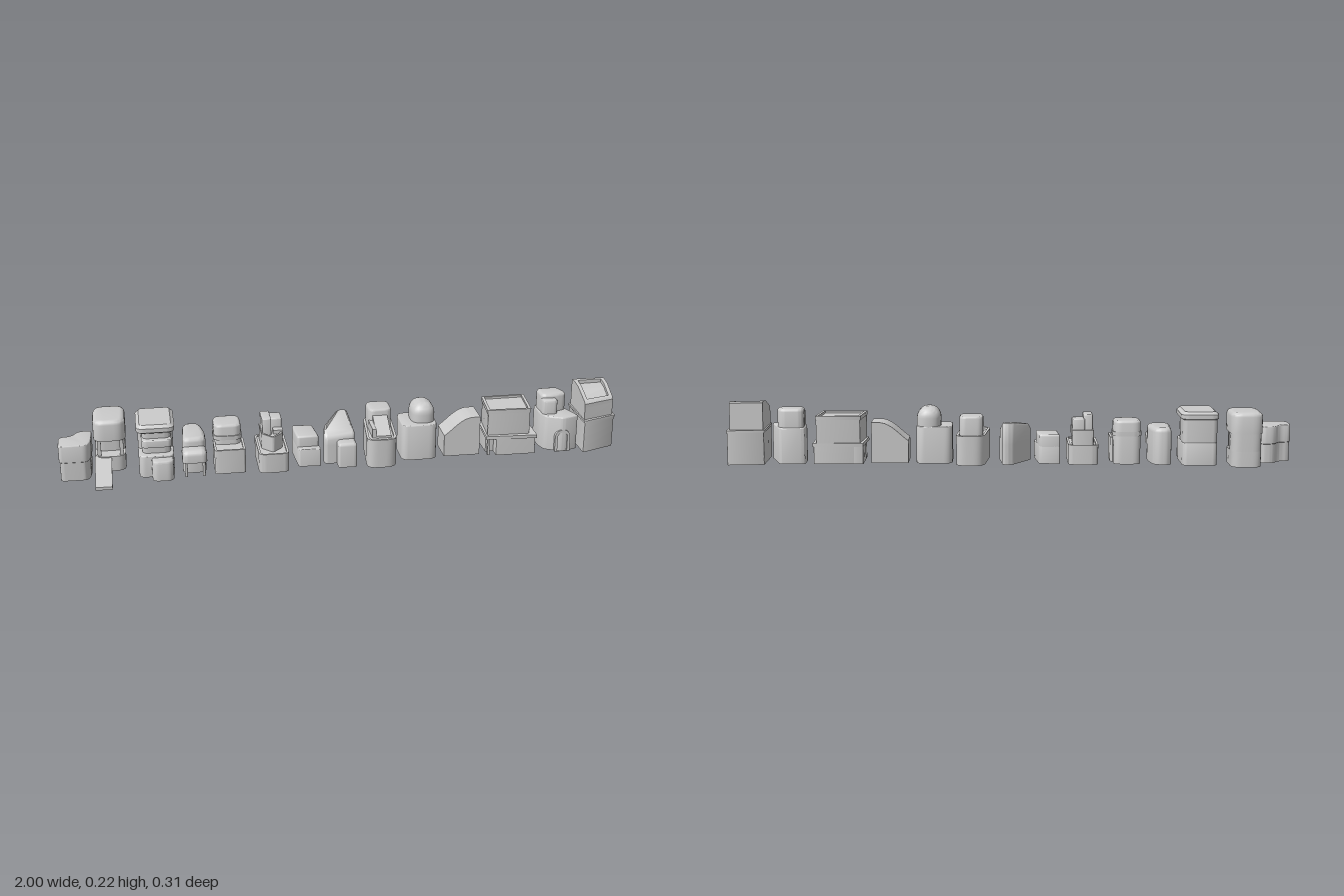
import * as THREE from 'three';
import { toCreasedNormals } from 'three/addons/utils/BufferGeometryUtils.js';

const material = new THREE.MeshStandardMaterial({ color: 0xcccccc, side: THREE.DoubleSide });

// Rounds the corners of a plan given as [x, z] points
function roundPlan(points, radius) {
  const pts = points.map(p => new THREE.Vector2(p[0], -p[1]));
  if (THREE.ShapeUtils.isClockWise(pts)) pts.reverse();
  const out = [];
  pts.forEach((p, i) => {
    const a = pts[(i + pts.length - 1) % pts.length], b = pts[(i + 1) % pts.length];
    const cut = o => p.clone().lerp(o, Math.min(radius / p.distanceTo(o), 0.49));
    if (radius < 0.001) out.push(p);
    else out.push(...new THREE.QuadraticBezierCurve(cut(a), p, cut(b)).getPoints(6));
  });
  return out;
}

// Stacks inset copies of a plan; levels are [height, inset] pairs
function loft(points, radius, levels) {
  const ring = roundPlan(points, radius), n = ring.length, pos = [], index = [];
  const normals = ring.map((p, i) => {
    const side = (a, b) => new THREE.Vector2(b.y - a.y, a.x - b.x).normalize();
    const u = side(ring[(i + n - 1) % n], p), v = side(p, ring[(i + 1) % n]);
    return u.clone().add(v).divideScalar(Math.max(0.4, 1 + u.dot(v)));
  });
  for (const [y, inset] of levels)
    ring.forEach((p, i) => pos.push(p.x - normals[i].x * inset, y, -p.y + normals[i].y * inset));
  for (let l = 0; l < levels.length - 1; l++)
    for (let i = 0; i < n; i++) {
      const a = l * n + i, b = l * n + (i + 1) % n;
      index.push(a, b, b + n, a, b + n, a + n);
    }
  const last = (levels.length - 1) * n;
  for (const [a, b, c] of THREE.ShapeUtils.triangulateShape(ring, []))
    index.push(last + a, last + b, last + c, c, b, a);
  const g = new THREE.BufferGeometry();
  g.setAttribute('position', new THREE.Float32BufferAttribute(pos, 3));
  g.setIndex(index);
  return toCreasedNormals(g, 0.6);
}

// Side profile of [z, y] points extruded from x0 to x1
function sideProfile(points, x0, x1) {
  const shape = new THREE.Shape(points.map(([z, y]) => new THREE.Vector2(-z, y)));
  const g = new THREE.ExtrudeGeometry(shape, { depth: x1 - x0, bevelEnabled: false });
  return g.rotateY(Math.PI / 2).translate(x0, 0, 0);
}

const rect = (x0, x1, z0, z1) => [[x0, z0], [x1, z0], [x1, z1], [x0, z1]];
// Level lists: softened roof edge, and sunken roof with a parapet
const soft = (y0, y1, b = 0.008) => [[y0, 0], [y1 - b, 0], [y1 - b * 0.5, b * 0.13], [y1 - b * 0.13, b * 0.5], [y1, b]];
const parapet = (y0, y1, w = 0.01, d = 0.012) => [[y0, 0], [y1, 0], [y1, w], [y1 - d, w]];

export function createModel() {
  const root = new THREE.Group();
  let house;
  const add = (name, geometry) => {
    const mesh = new THREE.Mesh(geometry, material);
    mesh.name = name;
    house.add(mesh);
    return mesh;
  };
  const start = name => {
    house = new THREE.Group();
    house.name = name;
    root.add(house);
  };
  const block = (name, plan, r, levels) => add(name, loft(plan, r, levels));
  const box = (name, x0, x1, y0, y1, z0, z1) =>
    add(name, new THREE.BoxGeometry(x1 - x0, y1 - y0, z1 - z0).translate((x0 + x1) / 2, (y0 + y1) / 2, (z0 + z1) / 2));

  // Stepped house with a waist band
  start('steppedHouse');
  const steps = [[-1, -0.025], [-0.955, -0.03], [-0.935, -0.07], [-0.885, -0.075], [-0.888, 0.02], [-0.9, 0.063], [-1, 0.063]];
  block('lowerWalls', steps, 0.02, [[0, 0.003], [0.068, 0.003], [0.07, 0]]);
  block('upperWalls', steps, 0.02, soft(0.07, 0.132, 0.004));

  // Tower with a porch and a long ramp
  start('rampHouse');
  block('floor', rect(-0.876, -0.77, -0.154, -0.005), 0.035, [[0, 0], [0.055, 0]]);
  block('backWalls', rect(-0.876, -0.77, -0.154, -0.06), 0.035, [[0.055, 0], [0.12, 0]]);
  block('upperRoom', rect(-0.88, -0.767, -0.156, 0.004), 0.04, soft(0.117, 0.192, 0.016));
  box('porchPost', -0.868, -0.855, 0.055, 0.12, -0.03, -0.015);
  box('porchPost', -0.79, -0.777, 0.055, 0.12, -0.03, -0.015);
  add('ramp', sideProfile([[-0.02, 0.055], [0.154, 0.011], [0.154, 0], [0.13, 0], [-0.02, 0.035]], -0.878, -0.82));

  // Broad house with an overhanging roof and a bay
  start('bayHouse');
  block('base', rect(-0.726, -0.603, -0.115, 0.07), 0.025, soft(0, 0.08, 0.004));
  block('walls', rect(-0.712, -0.612, -0.11, 0.045), 0.025, [[0.08, 0], [0.165, 0]]);
  block('backWall', rect(-0.726, -0.603, -0.115, 0), 0.025, [[0.08, 0], [0.165, 0]]);
  block('balcony', rect(-0.715, -0.61, -0.02, 0.065), 0.02, soft(0.108, 0.135, 0.004));
  block('roof', rect(-0.731, -0.598, -0.12, 0.066), 0.028, [[0.16, 0.008], [0.165, 0], [0.18, 0], [0.182, 0.004], [0.19, 0.012]]);
  block('bay', rect(-0.682, -0.607, 0.03, 0.11), 0.025, soft(0, 0.072, 0.008));

  // Small house with a canopy on legs
  start('canopyHouse');
  const small = [[-0.566, -0.1], [-0.506, -0.1], [-0.49, -0.02], [-0.492, 0.055], [-0.575, 0.055]];
  block('walls', small, 0.028, soft(0, 0.13, 0.016));
  block('canopy', rect(-0.576, -0.49, 0.02, 0.1), 0.02, soft(0.055, 0.1, 0.02));
  for (const x of [-0.564, -0.502])
    add('leg', new THREE.CylinderGeometry(0.005, 0.005, 0.06, 10).translate(x, 0.03, 0.085));

  // House with a low front room
  start('frontRoomHouse');
  block('tallWalls', rect(-0.459, -0.363, -0.088, 0.012), 0.03, soft(0, 0.155, 0.01));
  block('frontRoom', rect(-0.463, -0.354, -0.03, 0.08), 0.012, parapet(0, 0.088, 0.008, 0.006));
  block('band', rect(-0.462, -0.36, -0.09, 0.016), 0.03, [[0.1, 0], [0.115, 0]]);

  // Rounded base with a pointed deck and twin towers
  start('twinTowerHouse');
  block('base', rect(-0.309, -0.202, -0.097, 0.098), 0.026, parapet(0, 0.07, 0.008, 0.006));
  const deck = [[-0.293, -0.08], [-0.218, -0.08], [-0.218, 0.025], [-0.2555, 0.065], [-0.293, 0.025]];
  block('deck', deck, 0.01, parapet(0.06, 0.12, 0.007, 0.008));
  block('tallTower', rect(-0.29, -0.257, -0.06, 0.02), 0.005, soft(0.1, 0.174, 0.004));
  block('shortTower', rect(-0.262, -0.216, -0.075, -0.015), 0.008, soft(0.1, 0.16, 0.004));
  box('step', -0.25, -0.215, 0.1, 0.126, -0.015, 0.015);

  // Tapered cottage with a front ledge
  start('taperedCottage');
  const cottage = [[-0.174, -0.078], [-0.1, -0.074], [-0.084, 0.064], [-0.165, 0.06]];
  block('walls', cottage, 0.01, soft(0, 0.065, 0.003));
  block('upperWalls', [[-0.174, -0.078], [-0.1, -0.074], [-0.089, 0.035], [-0.167, 0.035]], 0.01, soft(0.06, 0.105, 0.008));

  // Wedge house with a sloping roof
  start('wedgeHouse');
  const wedge = [[-0.005, -0.095], [0.03, -0.098], [0.041, 0.045], [-0.07, 0.052], [-0.073, 0.015]];
  const wedgeBody = loft(wedge, 0.018, [[0, 0], [0.07, 0], [0.14, 0], [0.147, 0.003], [0.15, 0.008]]);
  const wp = wedgeBody.attributes.position;
  for (let i = 0; i < wp.count; i++)
    if (wp.getY(i) > 0.1) wp.setY(i, wp.getY(i) - 0.05 * THREE.MathUtils.clamp((wp.getZ(i) + 0.02) / 0.07, 0, 1));
  add('walls', toCreasedNormals(wedgeBody, 0.6));
  block('frontRoom', rect(-0.027, 0.04, 0, 0.092), 0.012, soft(0, 0.09, 0.012));

  // Rounded house with a round room and a slanted stair hood
  start('stairHouse');
  const rounded = [[0.094, -0.117], [0.196, -0.117], [0.18, 0.113], [0.072, 0.113]];
  block('base', rounded, 0.04, parapet(0, 0.105, 0.009, 0.008));
  block('upperRoom', rect(0.098, 0.182, -0.1, -0.01), 0.025, soft(0.095, 0.172, 0.008));
  add('stairHood', sideProfile([[-0.02, 0.155], [0.075, 0.105], [0.075, 0.095], [-0.02, 0.095]], 0.112, 0.165));
  box('stairWall', 0.098, 0.112, 0.095, 0.13, -0.02, 0.07);

  // House with a domed tower
  start('domedHouse');
  block('walls', rect(0.208, 0.336, -0.07, 0.064), 0.032, soft(0, 0.132, 0.004));
  const dome = [[0.125, 0]];
  for (let i = 0; i <= 8; i++) {
    const a = i / 8 * Math.PI / 2;
    dome.push([0.16 + 0.04 * Math.sin(a), 0.038 * (1 - Math.cos(a))]);
  }
  block('dome', rect(0.248, 0.334, -0.07, 0.044), 0.045, dome);

  // Shed with a roof curving up toward one side
  start('curvedShed');
  const arc = new THREE.Shape();
  arc.moveTo(0.364, 0);
  arc.lineTo(0.495, 0);
  arc.lineTo(0.495, 0.145);
  arc.lineTo(0.468, 0.145);
  arc.bezierCurveTo(0.425, 0.143, 0.4, 0.105, 0.364, 0.08);
  add('shell', toCreasedNormals(new THREE.ExtrudeGeometry(arc, { depth: 0.104, bevelEnabled: false, curveSegments: 14 }).translate(0, 0, -0.055), 0.5));

  // Flat roofed house overhanging a doorway
  start('flatRoofHouse');
  block('base', rect(0.552, 0.697, -0.08, 0.07), 0.003, [[0, 0], [0.066, 0]]);
  block('backBase', rect(0.522, 0.56, -0.08, 0.03), 0.003, [[0, 0], [0.066, 0]]);
  box('doorPost', 0.522, 0.53, 0, 0.066, 0.05, 0.065);
  const slab = [[0.522, -0.084], [0.7, -0.084], [0.7, 0.08], [0.514, 0.07]];
  block('ledge', slab, 0.003, [[0.063, 0], [0.075, 0]]);
  const flat = [[0.53, -0.082], [0.69, -0.084], [0.678, 0.064], [0.518, 0.06]];
  block('upperWalls', flat, 0.003, [[0.075, 0.003], [0.16, 0.003]]);
  block('roofRim', flat, 0.003, parapet(0.158, 0.172, 0.01, 0.008));

  // Angled house with an arched doorway
  start('archHouse');
  const angled = [[0.728, -0.078], [0.816, -0.08], [0.836, -0.02], [0.862, 0.05], [0.8, 0.07], [0.74, 0.04], [0.728, 0]];
  block('walls', angled, 0.012, soft(0, 0.13, 0.005));
  block('tower', [[0.732, -0.076], [0.814, -0.078], [0.834, -0.015], [0.79, 0.0], [0.734, 0.0]], 0.02, soft(0.12, 0.197, 0.012));
  block('turret', rect(0.735, 0.79, -0.03, 0.025), 0.014, soft(0.12, 0.183, 0.008));
  const arch = new THREE.Shape().moveTo(-0.028, 0).lineTo(-0.028, 0.055).absarc(0, 0.055, 0.028, Math.PI, 0, true).lineTo(0.028, 0);
  const hole = new THREE.Path().moveTo(-0.018, 0).lineTo(-0.018, 0.055).absarc(0, 0.055, 0.018, Math.PI, 0, true).lineTo(0.018, 0);
  arch.holes.push(hole);
  const door = add('doorArch', new THREE.ExtrudeGeometry(arch, { depth: 0.018, bevelEnabled: false }));
  door.position.set(0.8, 0, 0.052);

  // End house with a skewed front and a curved, sunken roof
  start('slopedRoofHouse');
  const end = [[0.87, -0.088], [0.998, -0.1], [0.996, 0.047], [0.872, 0.093]];
  block('base', end, 0.003, [[0, 0], [0.118, 0]]);
  block('band', end, 0.003, [[0.115, -0.003], [0.123, -0.003]]);
  const skew = (g) => {
    const p = g.attributes.position;
    for (let i = 0; i < p.count; i++)
      if (p.getZ(i) > -0.07) p.setZ(i, p.getZ(i) - 0.33 * (p.getX(i) - 0.873) * (p.getZ(i) + 0.083) / 0.165);
    g.computeVertexNormals();
    return g;
  };
  const curve = [[0.08, 0.182], [0.07, 0.19], [0.035, 0.202], [-0.01, 0.218], [-0.045, 0.222], [-0.078, 0.222], [-0.083, 0.218]];
  const drop = curve.map(([z, y]) => [z, y - 0.013]);
  add('upperWalls', skew(sideProfile([[0.082, 0.12], ...drop, [-0.083, 0.12]], 0.873, 0.99)));
  for (const x of [0.873, 0.976])
    add('roofEdge', skew(sideProfile([...curve, ...[...drop].reverse()], x, x + 0.014)));
  add('frontEdge', skew(sideProfile([curve[0], curve[1], [0.06, 0.193], [0.06, 0.175], drop[0]], 0.88, 0.98)));
  add('backEdge', skew(sideProfile([[-0.06, 0.222], curve[5], curve[6], [-0.083, 0.2], [-0.06, 0.2]], 0.88, 0.98)));
  return root;
}
